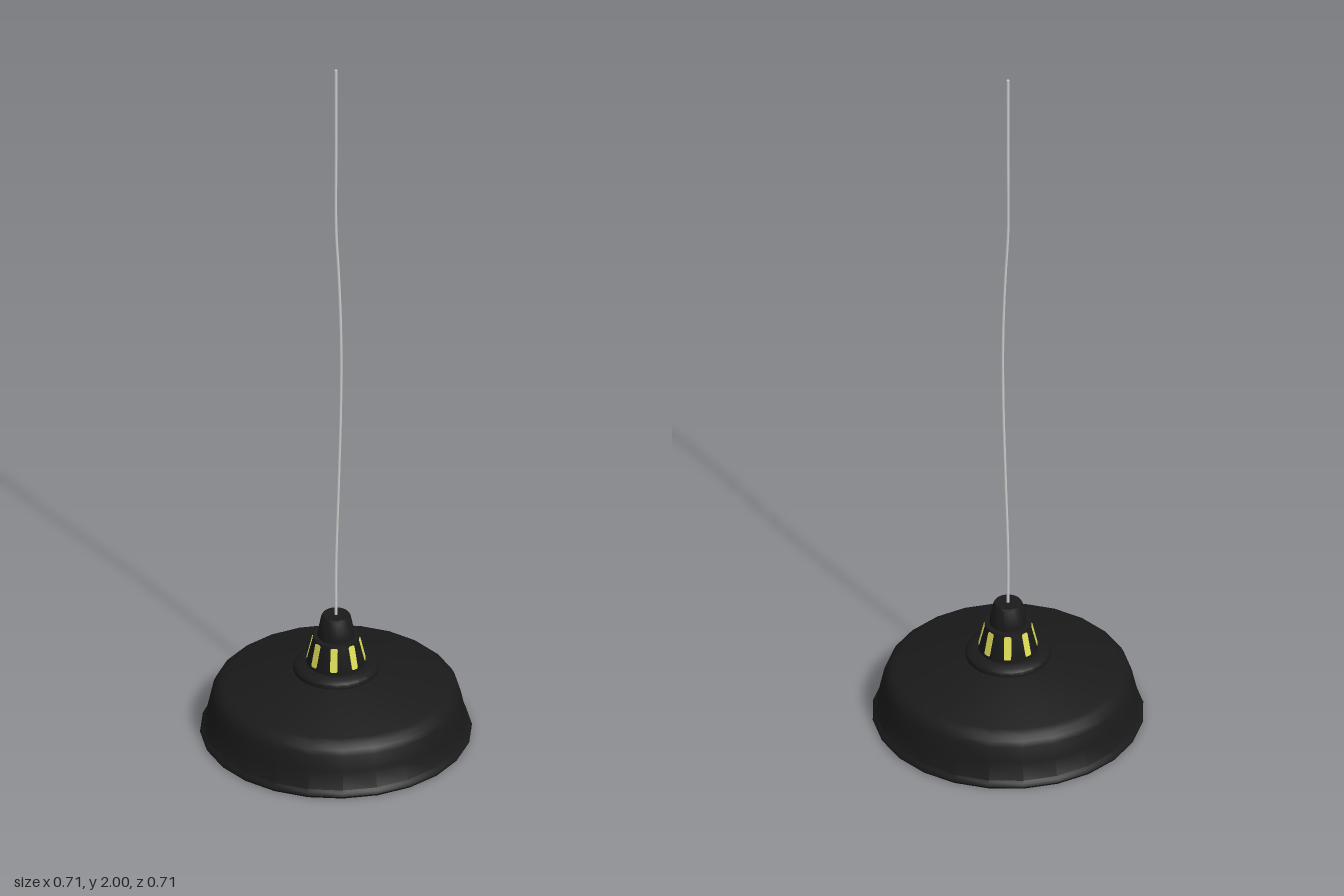
import * as THREE from 'three';
import { toCreasedNormals } from 'three/addons/utils/BufferGeometryUtils.js';

const black = new THREE.MeshStandardMaterial({ color: 0x1a1a1a });
black.name = 'blackMetal';
const grey = new THREE.MeshStandardMaterial({ color: 0xd0d0d0 });
grey.name = 'cordGrey';
const yellow = new THREE.MeshStandardMaterial({ color: 0xdede58 });
yellow.name = 'bulbYellow';

const SIDES = 24;

export function createModel() {
  const lamp = new THREE.Group();
  lamp.name = 'pendantLamp';

  const add = (name, geometry, material) => {
    const mesh = new THREE.Mesh(geometry, material);
    mesh.name = name;
    lamp.add(mesh);
    return mesh;
  };
  // turned part; profiles run upwards on the outside, downwards on the inside
  const turn = (name, profile) => {
    const points = profile.map(([r, y]) => new THREE.Vector2(r, y));
    return add(name, toCreasedNormals(new THREE.LatheGeometry(points, SIDES), 0.65), black);
  };

  // shade: inner wall down to the rolled rim, then the outer wall up
  turn('shade', [
    [0.076, 0.183], [0.11, 0.178], [0.288, 0.133], [0.305, 0.124], [0.314, 0.108], [0.34, 0.012],
    [0.345, 0], [0.352, 0], [0.355, 0.006], [0.352, 0.014], [0.345, 0.02],
    [0.334, 0.07], [0.325, 0.11], [0.318, 0.125], [0.306, 0.136], [0.288, 0.144], [0.11, 0.187],
  ]);

  // stepped collar on top of the shade
  turn('collar', [
    [0.11, 0.18], [0.112, 0.19], [0.11, 0.199], [0.102, 0.206], [0.08, 0.209], [0.076, 0.209],
  ]);

  // hollow conical neck: inner wall down, outer wall up
  turn('neck', [[0, 0.283], [0.057, 0.283], [0.075, 0.21], [0.076, 0.183], [0.078, 0.2], [0.078, 0.21], [0.06, 0.287], [0.045, 0.287]]);

  // cord cap
  turn('cap', [[0.048, 0.283], [0.048, 0.298], [0.039, 0.343], [0.035, 0.35], [0, 0.35]]);

  // glowing vent slots set through the neck wall, one on every third facet
  const [low, high, halfWidth, round] = [0.217, 0.281, 0.0095, 0.005];
  const slope = 0.018 / 0.077;
  const middle = (low + high) / 2;
  const halfHeight = (high - low) / 2 * Math.hypot(1, slope);
  const facetRadius = (0.078 - (middle - 0.21) * slope) * Math.cos(Math.PI / SIDES);
  const outline = new THREE.Shape();
  outline.absarc(halfWidth - round, halfHeight - round, round, 0, Math.PI / 2);
  outline.absarc(round - halfWidth, halfHeight - round, round, Math.PI / 2, Math.PI);
  outline.absarc(round - halfWidth, round - halfHeight, round, Math.PI, Math.PI * 1.5);
  outline.absarc(halfWidth - round, round - halfHeight, round, Math.PI * 1.5, Math.PI * 2);
  const slot = new THREE.ExtrudeGeometry(outline, { depth: 0.008, bevelEnabled: false, curveSegments: 3 })
    .translate(0, 0, -0.0065)
    .rotateX(-Math.atan(slope))
    .translate(0, middle, facetRadius);
  for (let i = 0; i < 8; i++) {
    add('ventSlot', slot, yellow).rotation.y = Math.PI / SIDES + (i * Math.PI) / 4;
  }

  // elongated bulb and its socket
  const bulb = add('bulb', new THREE.SphereGeometry(1, 24, 16), yellow);
  bulb.scale.set(0.062, 0.11, 0.062);
  bulb.position.y = 0.13;
  turn('socket', [[0, 0.2], [0.04, 0.2], [0.04, 0.283]]);

  // slightly bowed hanging cord
  const path = new THREE.CatmullRomCurve3(
    [[0, 0.345], [0, 0.5], [0.007, 0.75], [0.013, 1], [0.013, 1.2], [0.007, 1.38], [0, 1.52], [0, 1.75], [0, 2]]
      .map(([x, y]) => new THREE.Vector3(x, y, 0)));
  add('cord', new THREE.TubeGeometry(path, 40, 0.004, 6), grey);
  const end = add('cordEnd', new THREE.CircleGeometry(0.004, 6), grey);
  end.rotation.x = -Math.PI / 2;
  end.position.y = 2;

  return lamp;
}
